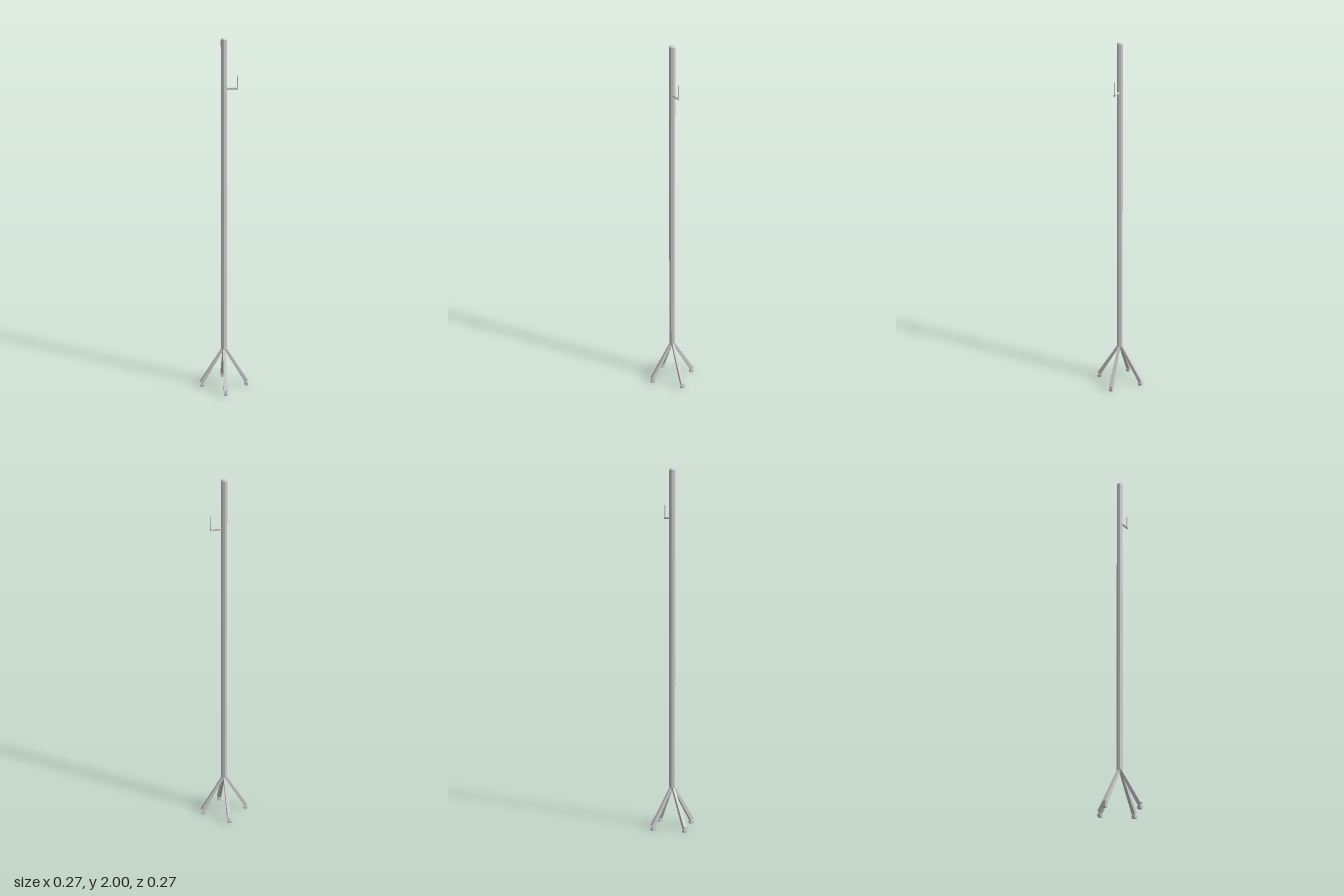
import * as THREE from 'three';

const material = new THREE.MeshStandardMaterial({ color: 0xcccccc, flatShading: true });

function part(name, geometry) {
  const mesh = new THREE.Mesh(geometry, material);
  mesh.name = name;
  return mesh;
}

// Tapered bar between two points, with a flat facet facing up
function bar(name, from, to, r0, r1, sides) {
  const geometry = new THREE.CylinderGeometry(r1, r0, from.distanceTo(to), sides);
  geometry.rotateY(Math.PI / sides);
  const mesh = part(name, geometry);
  mesh.position.copy(from).add(to).multiplyScalar(0.5);
  mesh.quaternion.setFromUnitVectors(new THREE.Vector3(0, 1, 0), to.clone().sub(from).normalize());
  return mesh;
}

export function createModel() {
  const model = new THREE.Group();
  const TURN = Math.PI / 8;

  // Octagonal pole with bevelled ends and a flat facet to the front
  const profile = [[0, 0.22], [0.011, 0.22], [0.0172, 0.232], [0.0172, 1.993], [0.0125, 2], [0, 2]];
  const pole = part('pole', new THREE.LatheGeometry(profile.map(([x, y]) => new THREE.Vector2(x, y)), 8));
  pole.rotation.y = TURN;
  model.add(pole);

  // Four splayed legs that widen downwards, each on a narrow neck and a block foot
  for (let i = 0; i < 4; i++) {
    const leg = new THREE.Group();
    leg.name = 'leg';
    leg.add(bar('legBar', new THREE.Vector3(0.129, 0.026, 0), new THREE.Vector3(0.003, 0.238, 0), 0.0152, 0.009, 4));
    const neck = part('footNeck', new THREE.BoxGeometry(0.014, 0.016, 0.014));
    neck.position.set(0.127, 0.02, 0);
    const foot = part('foot', new THREE.CylinderGeometry(0.0155, 0.0135, 0.015, 4).rotateY(Math.PI / 4));
    foot.position.set(0.128, 0.0075, 0);
    leg.add(neck, foot);
    leg.rotation.y = -TURN + i * Math.PI / 2;
    model.add(leg);
  }

  // Hook: a short arm with a thin upright, in line with one leg
  const hook = new THREE.Group();
  hook.name = 'hook';
  const arm = bar('hookArm', new THREE.Vector3(0.01, 1.734, 0), new THREE.Vector3(0.075, 1.734, 0), 0.006, 0.006, 8);
  const upright = part('hookUpright', new THREE.BoxGeometry(0.004, 0.075, 0.004));
  upright.position.set(0.073, 1.7685, 0);
  hook.add(arm, upright);
  hook.rotation.y = -TURN;
  model.add(hook);

  return model;
}
